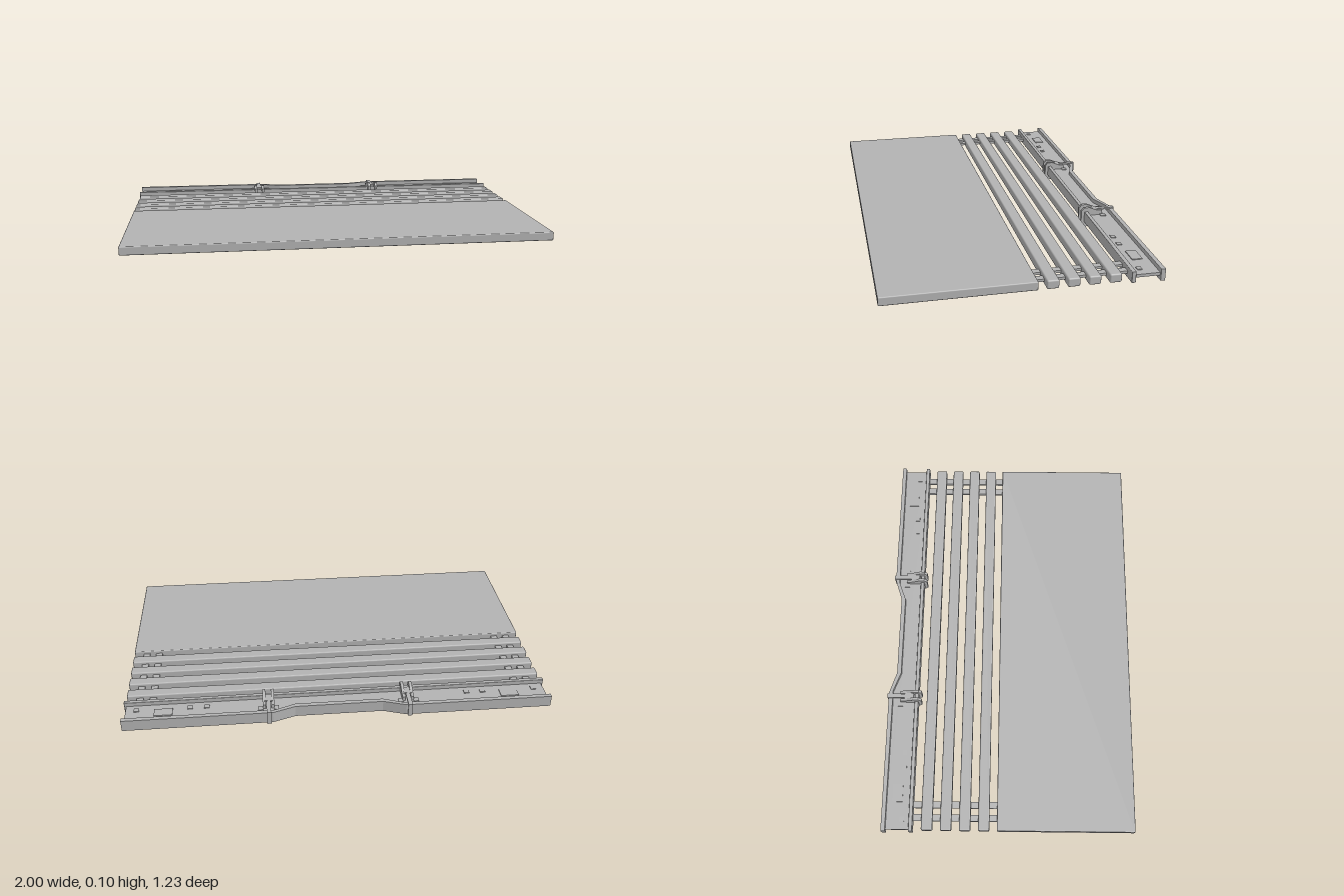
import * as THREE from 'three';
import { RoundedBoxGeometry } from 'three/addons/geometries/RoundedBoxGeometry.js';

const metal = new THREE.MeshStandardMaterial({ color: 0xb2b2b2 });
metal.name = 'plain grey';
const MID = 0.0515; // height of the centre plane

export function createModel() {
  const group = new THREE.Group();
  group.name = 'slattedPanel';

  const add = (name, geometry) => {
    const mesh = new THREE.Mesh(geometry, metal);
    mesh.name = name;
    group.add(mesh);
    return mesh;
  };
  // Box from its limits on each axis
  const box = (name, x0, x1, y0, y1, z0, z1, r = 0) => {
    const s = [x1 - x0, y1 - y0, z1 - z0];
    const g = r ? new RoundedBoxGeometry(...s, 2, r) : new THREE.BoxGeometry(...s);
    g.translate((x0 + x1) / 2, (y0 + y1) / 2, (z0 + z1) / 2);
    return add(name, g);
  };
  // Plan outline of [x, z] points raised between two heights
  const plan = (name, pts, y0, y1) => {
    const shape = new THREE.Shape(pts.map(([x, z]) => new THREE.Vector2(x, -z)));
    const g = new THREE.ExtrudeGeometry(shape, { depth: y1 - y0, bevelEnabled: false });
    g.rotateX(-Math.PI / 2).translate(0, y0, 0);
    return add(name, g);
  };
  // Side outline of [z, y] points extruded between two x positions
  const side = (name, pts, x0, x1) => {
    const shape = new THREE.Shape(pts.map(([z, y]) => new THREE.Vector2(-z, y)));
    const g = new THREE.ExtrudeGeometry(shape, { depth: x1 - x0, bevelEnabled: false });
    g.rotateY(Math.PI / 2).translate(x0, 0, 0);
    return add(name, g);
  };
  const mirrored = (pts) => [...pts, ...pts.map(([x, z]) => [-x, z]).reverse()];

  // Wide front panel and four slats
  box('panel', -0.993, 0.993, 0.031, 0.072, -0.053, 0.615, 0.005);
  for (let i = 0; i < 4; i++) {
    const z = -0.117 - i * 0.092;
    box('slat', -0.993, 0.993, 0.031, 0.072, z - 0.027, z + 0.027, 0.007);
  }

  // Pairs of connecting straps running under the slats
  for (const s of [-1, 1]) {
    for (const x of [0.87, 0.932]) {
      box('strap', s * x - 0.016, s * x + 0.016, MID - 0.006, MID + 0.006, -0.47, -0.04);
    }
  }

  // Channel rail: web, front flange, rear flange with a shallow recess
  const webEdge = [[-0.99, -0.47], [-0.99, -0.60], [-0.3, -0.60], [-0.205, -0.565]];
  plan('railWeb', mirrored(webEdge), MID - 0.007, MID + 0.007);
  box('frontFlange', -1, 1, 0.025, 0.079, -0.48, -0.461, 0.003);
  plan('rearFlange', [
    [-1, -0.612], [-0.31, -0.612], [-0.205, -0.577], [0.205, -0.577], [0.31, -0.612], [1, -0.612],
    [1, -0.592], [0.3, -0.592], [0.205, -0.556], [-0.205, -0.556], [-0.3, -0.592], [-1, -0.592],
  ], 0.023, 0.079);

  // Raised pads on both faces of the web: [x, z, width, depth]
  const pads = [
    [0.815, -0.54, 0.085, 0.048], [0.94, -0.515, 0.024, 0.022], [0.692, -0.515, 0.025, 0.022],
    [0.615, -0.515, 0.025, 0.022], [0.365, -0.553, 0.024, 0.026], [0.293, -0.553, 0.024, 0.026],
  ];
  for (const s of [-1, 1]) {
    for (const [x, z, w, d] of pads) {
      box('webPad', s * x - w / 2, s * x + w / 2, MID - 0.011, MID + 0.011, z - d / 2, z + d / 2);
    }
  }

  // Clips: two cheeks gripping the front flange, a bridge, and a stem to a rear hook
  const cheek = [
    [-0.446, 0.084], [-0.46, 0.1], [-0.486, 0.1], [-0.526, 0.083], [-0.553, 0.08],
    [-0.553, 0.023], [-0.526, 0.02], [-0.486, 0], [-0.46, 0], [-0.446, 0.018],
  ];
  for (const c of [-0.328, 0.328]) {
    for (const s of [-1, 1]) {
      const x = c + s * 0.02;
      side('clipCheek', cheek, x - 0.007, x + 0.007);
    }
    for (const [y0, y1] of [[0.077, 0.086], [0.017, 0.026]]) {
      box('clipBridge', c - 0.02, c + 0.02, y0, y1, -0.53, -0.485);
      box('clipStem', c - 0.01, c + 0.01, y0, y1 - 0.001, -0.615, -0.52);
    }
    box('clipHook', c - 0.01, c + 0.01, 0.02, 0.085, -0.618, -0.611);
  }
  return group;
}
